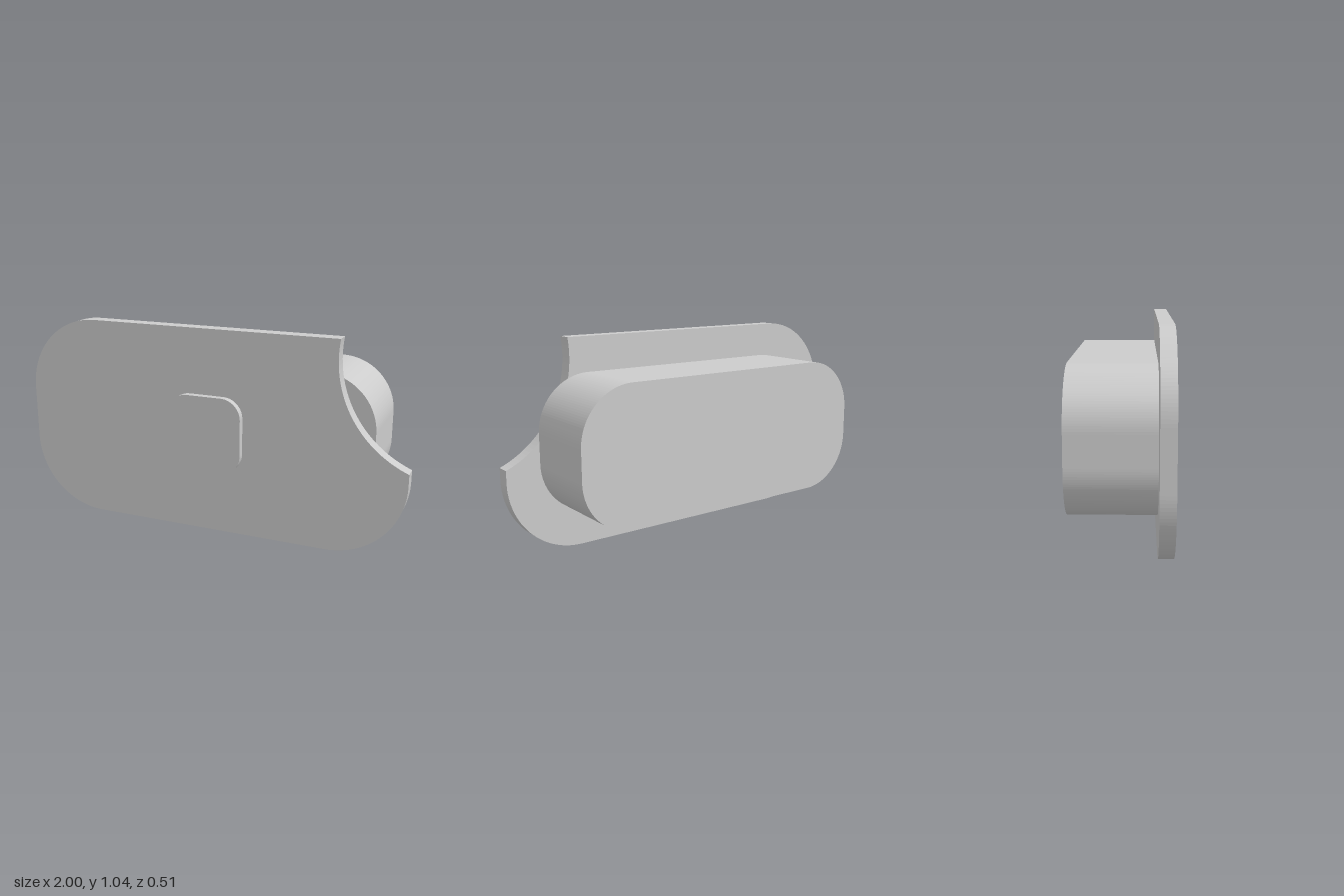
import * as THREE from 'three';

const CENTRE_Y = 0.518;

// Rounded rectangle centred on x = 0, traced counter-clockwise from the bottom left.
// An optional circular bite {x, y, r} replaces the upper corner on the +x side.
function roundedOutline(halfW, halfH, r, bite) {
  const s = new THREE.Shape();
  const x = halfW - r, bottom = CENTRE_Y - halfH, top = CENTRE_Y + halfH;
  s.moveTo(-x, bottom);
  s.lineTo(x, bottom);
  s.absarc(x, bottom + r, r, -Math.PI / 2, 0, false);
  if (bite) {
    const start = -Math.PI + Math.acos((bite.x - halfW) / bite.r);
    const end = -Math.PI - Math.asin((top - bite.y) / bite.r);
    s.absarc(bite.x, bite.y, bite.r, start, end, true);
  } else {
    s.absarc(x, top - r, r, 0, Math.PI / 2, false);
  }
  s.absarc(-x, top - r, r, Math.PI / 2, Math.PI, false);
  s.absarc(-x, bottom + r, r, Math.PI, Math.PI * 1.5, false);
  s.closePath();
  return s;
}

export function createModel() {
  const group = new THREE.Group();
  const material = new THREE.MeshStandardMaterial({ color: 0xcccccc });

  function addSlab(name, outline, back, front) {
    const geometry = new THREE.ExtrudeGeometry(outline, {
      depth: front - back, bevelEnabled: false, curveSegments: 18,
    });
    geometry.translate(0, 0, back);
    const mesh = new THREE.Mesh(geometry, material);
    mesh.name = name;
    group.add(mesh);
  }

  // Deep body behind the plate
  addSlab('body', roundedOutline(0.826, 0.344, 0.27), -0.254, 0.15);
  // Wide face plate with a circular bite out of one upper corner
  addSlab('facePlate', roundedOutline(1, 0.518, 0.38, { x: 1.2, y: 0.95, r: 0.548 }), 0.15, 0.22);
  // Small raised button in the middle of the plate
  addSlab('button', roundedOutline(0.19, 0.19, 0.1), 0.22, 0.254);

  return group;
}
